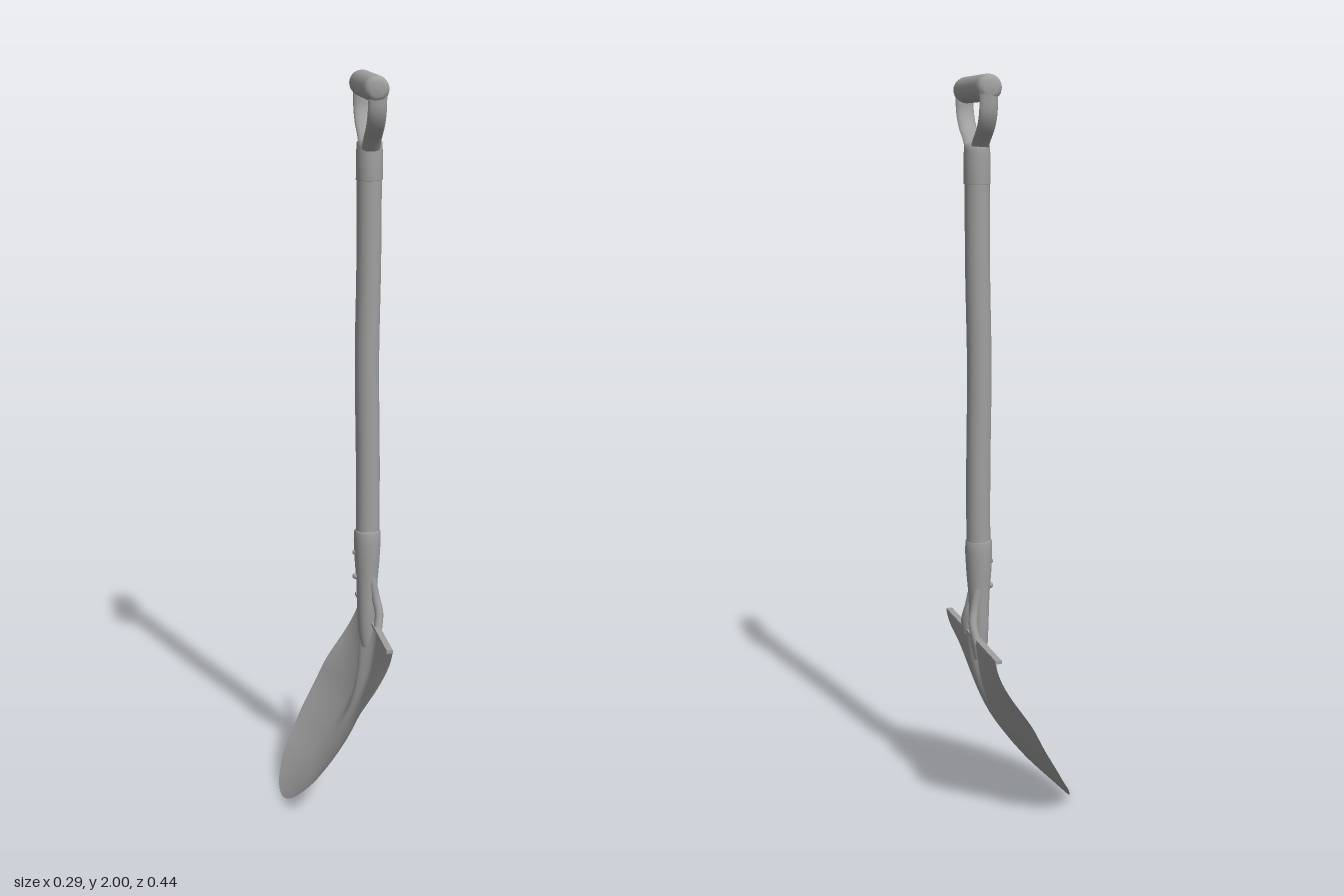
import * as THREE from 'three';

const V = (x, y, z) => new THREE.Vector3(x, y, z);
const SHAFT_X = 0.102;

export function createModel() {
  const model = new THREE.Group();
  const steel = new THREE.MeshStandardMaterial({ color: 0xa0a0a0, side: THREE.DoubleSide });
  steel.name = 'grey steel';

  const add = (name, geometry, parent = model) => {
    const mesh = new THREE.Mesh(geometry, steel);
    mesh.name = name;
    parent.add(mesh);
    return mesh;
  };
  const lathe = (points, segments = 28) =>
    new THREE.LatheGeometry(points.map(p => new THREE.Vector2(...p)), segments);

  // Blade: a plane bent into a dished, round-nosed scoop with a raised central rib
  const spine = new THREE.SplineCurve([
    [0, -0.145], [0.06, -0.088], [0.14, -0.015], [0.25, 0.063], [0.37, 0.111], [0.505, 0.13],
  ].map(p => new THREE.Vector2(...p)));
  const spineSamples = spine.getPoints(200);
  const spineX = y => {
    const i = Math.max(1, spineSamples.findIndex(p => p.x >= y - 1e-6));
    const a = spineSamples[i - 1], b = spineSamples[i];
    return THREE.MathUtils.mapLinear(y, a.x, b.x, a.y, b.y);
  };
  const halfWidth = y => 0.222 * Math.sqrt(Math.max(0, 1 - Math.max(0, (0.28 - y) / 0.28) ** 2));
  const blade = new THREE.PlaneGeometry(1, 1, 64, 48);
  const pos = blade.attributes.position, uv = blade.attributes.uv;
  for (let i = 0; i < pos.count; i++) {
    const t = uv.getY(i), s = uv.getX(i) * 2 - 1;
    const y = 0.505 * Math.pow(t, 1.6);
    const z = -s * halfWidth(y);
    const dish = 1.3 * z * z * (1 - THREE.MathUtils.smoothstep(y, 0.28, 0.5));
    const rib = 0.04 * THREE.MathUtils.smoothstep(y, 0.16, 0.45) * Math.exp(-(((z + 0.004) / 0.022) ** 2));
    pos.setXYZ(i, spineX(y) - dish - rib, y, z);
  }
  blade.computeVertexNormals();
  add('blade', blade);

  // Narrow turned tread along the top of the blade
  const tread = new THREE.BoxGeometry(0.017, 0.009, 0.443);
  tread.translate(0.1215, 0.502, 0);
  add('tread', tread);

  // Socket: a tapered tube from the blade up to the shaft
  const socket = lathe([
    [0.014, 0.43], [0.024, 0.48], [0.027, 0.56], [0.029, 0.62], [0.034, 0.68],
    [0.037, 0.74], [0.036, 0.77], [0.032, 0.775],
  ]);
  socket.translate(SHAFT_X + 0.001, 0, 0);
  add('socket', socket);

  // Socket wings spreading onto the back of the blade
  for (const side of [-1, 1]) {
    const path = new THREE.CatmullRomCurve3([
      V(0.112, 0.64, side * 0.018), V(0.124, 0.58, side * 0.022),
      V(0.131, 0.54, side * 0.034), V(0.125, 0.495, side * 0.048),
    ]);
    add('socketWing', new THREE.TubeGeometry(path, 16, 0.012, 10));
  }

  // Rivets through the socket
  for (const y of [0.64, 0.71]) {
    const rivet = new THREE.SphereGeometry(0.008, 12, 8);
    rivet.translate(SHAFT_X - 0.032, y, 0);
    add('rivet', rivet);
  }

  // Shaft: gently bowed wooden pole
  const shaftPath = new THREE.CatmullRomCurve3([
    V(0.104, 0.7, 0), V(0.104, 0.95, -0.003), V(0.1, 1.25, -0.005),
    V(0.103, 1.5, -0.005), V(0.103, 1.78, -0.005),
  ]);
  add('shaft', new THREE.TubeGeometry(shaftPath, 40, 0.0325, 28));

  // Collar joining the shaft to the handle
  const collar = lathe([
    [0.031, 1.722], [0.035, 1.725], [0.035, 1.795], [0.033, 1.81], [0.033, 1.82], [0.027, 1.828], [0, 1.83],
  ]);
  collar.translate(SHAFT_X + 0.001, 0, -0.005);
  add('collar', collar);

  // Handle: two flat arms rising to a cross grip
  const handle = new THREE.Group();
  handle.name = 'handle';
  model.add(handle);
  for (const side of [-1, 1]) {
    const path = new THREE.CatmullRomCurve3([
      V(0, 1.805, side * 0.017), V(0, 1.835, side * 0.042), V(0, 1.865, side * 0.075),
      V(0, 1.9, side * 0.095), V(0, 1.955, side * 0.101),
    ]);
    const arm = new THREE.TubeGeometry(path, 24, 0.011, 14);
    arm.scale(2.2, 1, 1);
    arm.translate(SHAFT_X - 0.001, 0, 0.004);
    arm.computeVertexNormals();
    add('handleArm', arm, handle);
  }
  const grip = add('grip', lathe([
    [0, -0.114], [0.018, -0.113], [0.027, -0.109], [0.032, -0.1], [0.0335, -0.088],
    [0.0335, 0.088], [0.032, 0.1], [0.027, 0.109], [0.018, 0.113], [0, 0.114],
  ]), handle);
  grip.position.set(0.098, 1.961, 0.006);
  grip.rotation.x = Math.PI / 2 + 0.045;

  return model;
}
